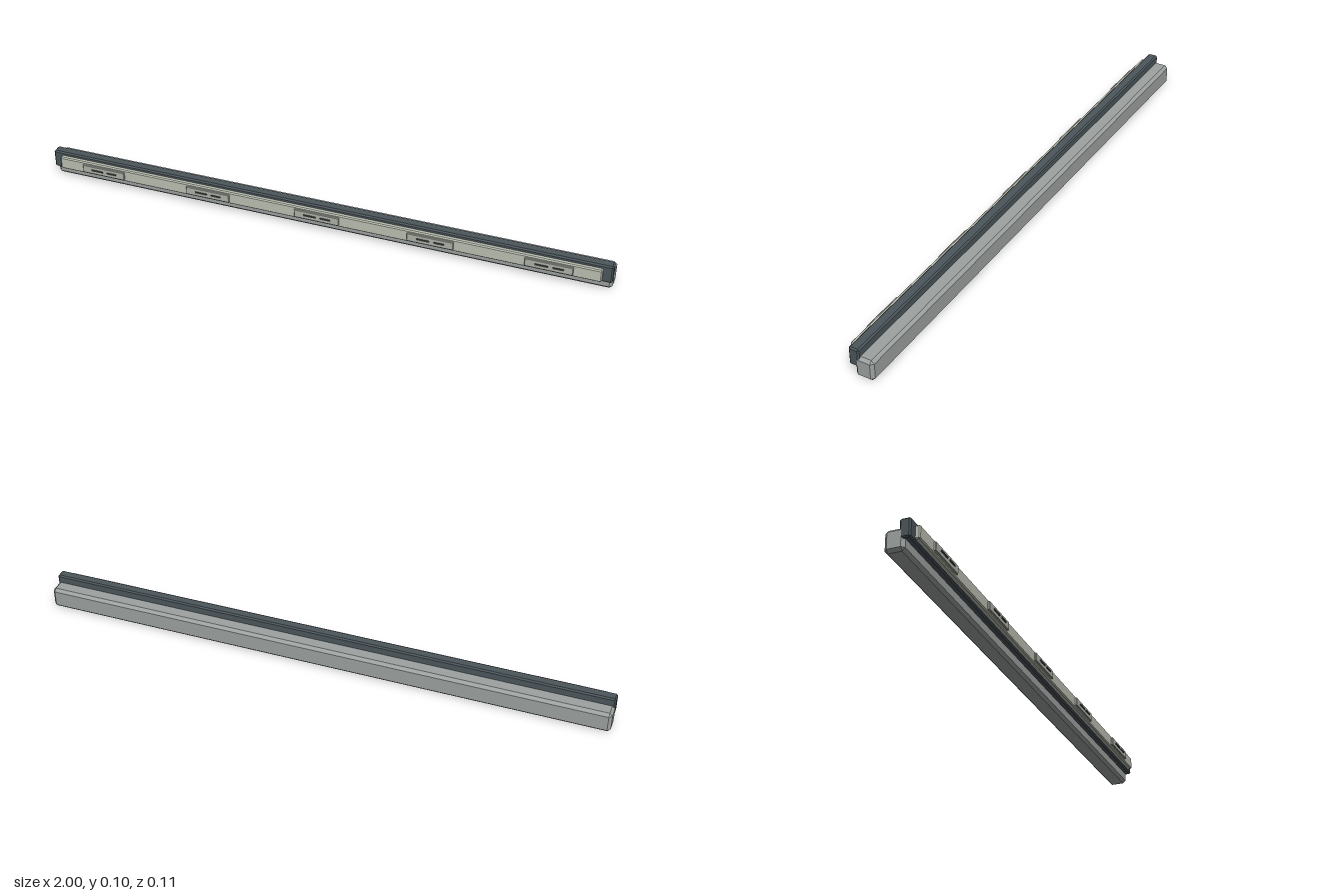
import * as THREE from 'three';
import { ConvexGeometry } from 'three/addons/geometries/ConvexGeometry.js';

const flat = (name, color) => {
  const m = new THREE.MeshStandardMaterial({ color });
  m.name = name;
  return m;
};

// Box given by its bounds, with every edge and corner chamfered by c
function chamferBox(name, material, [x0, x1], [y0, y1], [z0, z1], c) {
  const half = [(x1 - x0) / 2, (y1 - y0) / 2, (z1 - z0) / 2];
  const points = [];
  for (const sx of [-1, 1]) for (const sy of [-1, 1]) for (const sz of [-1, 1]) {
    for (let full = 0; full < 3; full++) {
      const p = half.map((h, i) => (i === full ? h : h - c));
      points.push(new THREE.Vector3(p[0] * sx, p[1] * sy, p[2] * sz));
    }
  }
  const mesh = new THREE.Mesh(new ConvexGeometry(points), material);
  mesh.name = name;
  mesh.position.set((x0 + x1) / 2, (y0 + y1) / 2, (z0 + z1) / 2);
  return mesh;
}

export function createModel() {
  const bodyGrey = flat('body grey', 0x9da2a0);
  const slate = flat('dark slate', 0x4c565b);
  const panelGrey = flat('pale panel', 0xbcc0b3);
  const plateGrey = flat('plate grey', 0xaeb2a8);
  const slotDark = flat('slot dark', 0x3f4548);

  const model = new THREE.Group();
  model.name = 'railBar';

  // Main beam, the upper rail in front of it, and the long face panel
  model.add(
    chamferBox('beam', bodyGrey, [-1, 1], [0, 0.075], [-0.054, 0.011], 0.01),
    chamferBox('upperRail', slate, [-1, 1], [0.038, 0.103], [-0.006, 0.03], 0.005),
    chamferBox('facePanel', panelGrey, [-0.968, 0.968], [0.045, 0.091], [0.02, 0.045], 0.004)
  );

  // Five small plates, each with two dark slots
  for (let i = -2; i <= 2; i++) {
    const plate = new THREE.Group();
    plate.name = 'slotPlate';
    plate.position.x = i * 0.398;
    plate.add(chamferBox('plate', plateGrey, [-0.08, 0.08], [0.053, 0.084], [0.04, 0.052], 0.002));
    for (const [a, b] of [[-0.045, -0.002], [0.014, 0.05]]) {
      const slot = new THREE.Mesh(new THREE.BoxGeometry(b - a, 0.005, 0.005), slotDark);
      slot.name = 'slot';
      slot.position.set((a + b) / 2, 0.069, 0.053);
      plate.add(slot);
    }
    model.add(plate);
  }
  return model;
}
